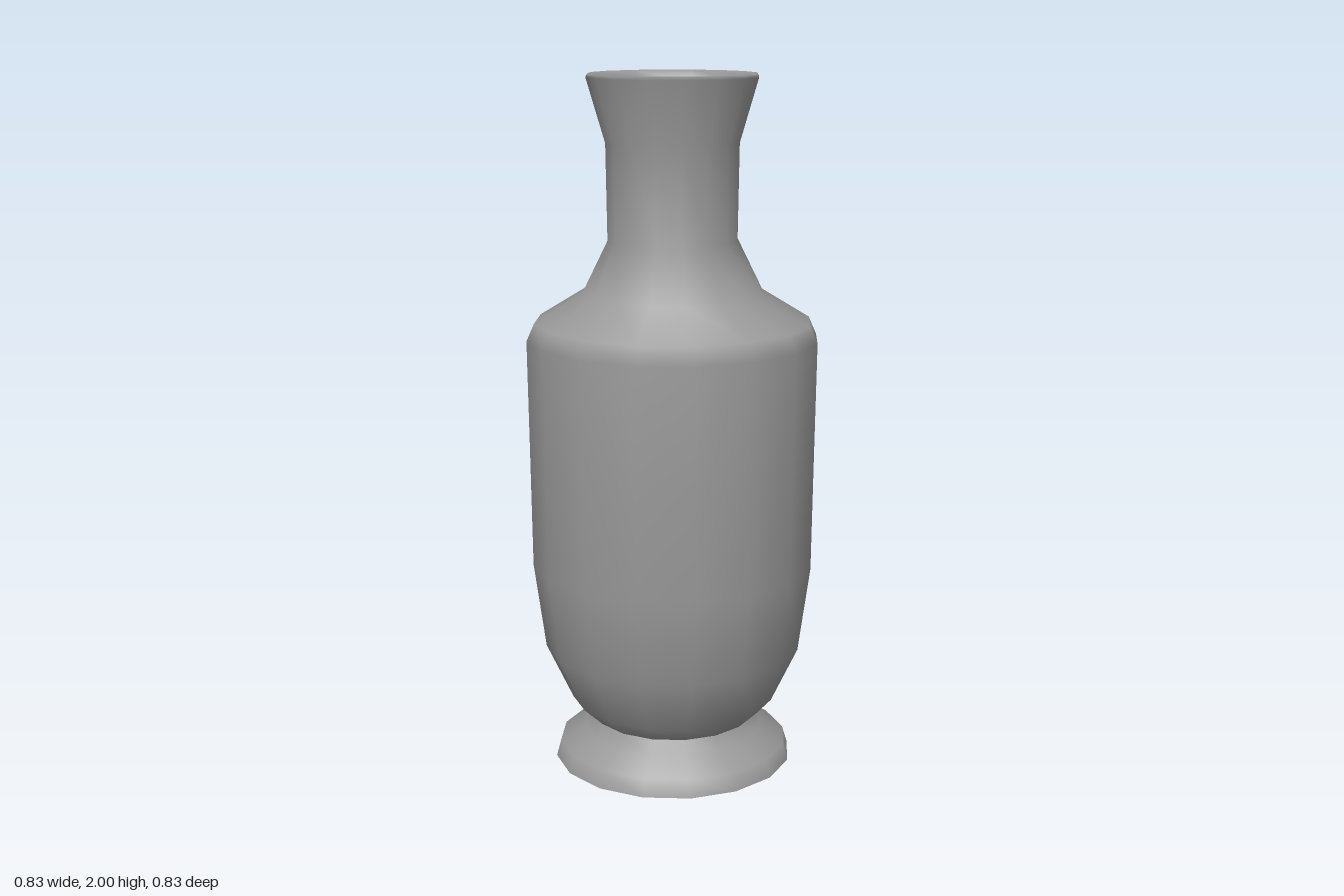
import * as THREE from 'three';

const SIDES = 16;

// Turns a list of [radius, height] points, listed so that faces point outward
function turned(name, profile, material) {
  const points = profile.map(([r, y]) => new THREE.Vector2(r, y));
  const mesh = new THREE.Mesh(new THREE.LatheGeometry(points, SIDES), material);
  mesh.name = name;
  return mesh;
}

export function createModel() {
  const group = new THREE.Group();
  group.name = 'vase';
  const clay = new THREE.MeshStandardMaterial({ color: 0x9a9a9a, side: THREE.DoubleSide });

  // Flat underside of the foot
  group.add(turned('footBase', [[0, 0], [0.35, 0]], clay));

  // Flared foot with a narrow waist
  group.add(turned('foot', [
    [0.35, 0], [0.335, 0.05], [0.262, 0.088], [0.24, 0.13],
  ], clay));

  // Belly, shoulder, neck and flared mouth, rolling over the lip into the hollow throat
  group.add(turned('body', [
    [0.24, 0.13], [0.298, 0.185], [0.375, 0.35], [0.409, 0.6],
    [0.413, 0.95], [0.417, 1.26], [0.395, 1.31], [0.257, 1.395],
    [0.185, 1.54], [0.189, 1.81], [0.242, 1.99], [0.237, 2],
    [0.207, 1.985], [0.157, 1.81], [0.15, 1.54], [0, 1.48],
  ], clay));

  return group;
}
